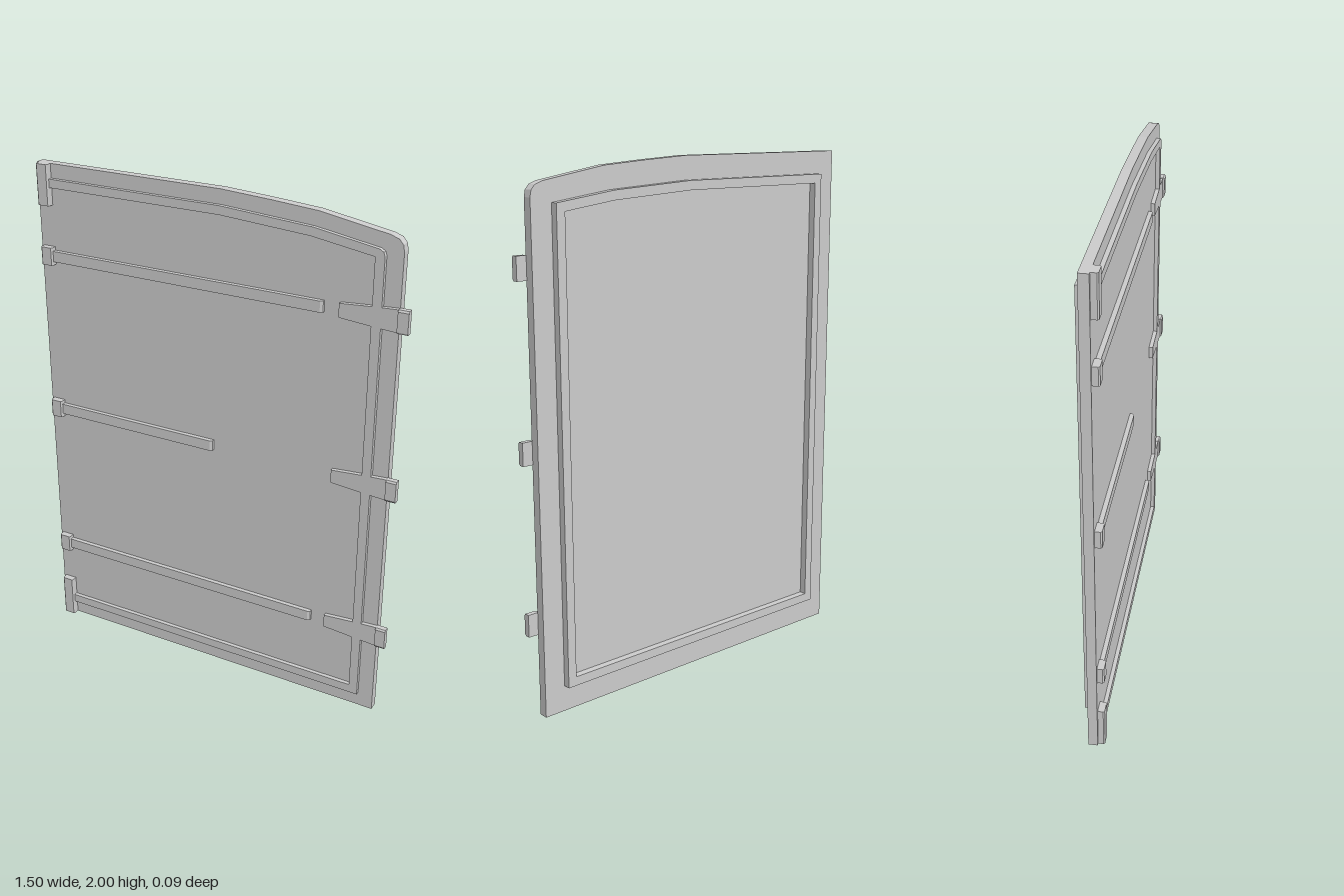
import * as THREE from 'three';

const material = new THREE.MeshStandardMaterial({ color: 0xcccccc, flatShading: true });

function outline(points) {
  return new THREE.Shape(points.map(([x, y]) => new THREE.Vector2(x, y)));
}

// Outline in x/y, extruded from z0 to z1
function plate(name, points, z0, z1, hole) {
  const shape = outline(points);
  if (hole) shape.holes.push(outline(hole));
  const geometry = new THREE.ExtrudeGeometry(shape, { depth: z1 - z0, bevelEnabled: false });
  geometry.translate(0, 0, z0);
  const mesh = new THREE.Mesh(geometry, material);
  mesh.name = name;
  return mesh;
}

// Profile in x/z, extruded upwards from y0 to y1
function slab(name, profile, y0, y1) {
  const mesh = plate(name, profile.map(([x, z]) => [x, -z]), y0, y1);
  mesh.geometry.rotateX(-Math.PI / 2);
  return mesh;
}

export function createModel() {
  const door = new THREE.Group();
  door.name = 'door';
  const back = -0.018, front = 0.018;

  // Door panel with an arched top and one rounded corner
  door.add(plate('panel', [
    [-0.75, 0], [0.71, 0], [0.71, 1.88], [0.705, 1.905], [0.69, 1.922], [0.66, 1.933],
    [0.4, 1.976], [0.22, 1.989], [0.03, 2], [-0.75, 2],
  ], back, front));

  // Raised sealing frame on the back
  door.add(plate('backFrame', [
    [-0.66, 0.1], [0.625, 0.1], [0.625, 1.86], [0.38, 1.892], [0.03, 1.912], [-0.66, 1.912],
  ], -0.046, back, [
    [-0.625, 0.135], [0.59, 0.135], [0.59, 1.83], [0.38, 1.857], [0.03, 1.877], [-0.625, 1.877],
  ]));

  // Trim strip running along the top, side and bottom of the front
  door.add(plate('frontTrim', [
    [-0.692, 0.06], [0.65, 0.06], [0.65, 1.86], [0.645, 1.875], [0.63, 1.884],
    [0.39, 1.922], [0.03, 1.945], [-0.692, 1.945], [-0.692, 1.912], [0.03, 1.912],
    [0.38, 1.89], [0.615, 1.855], [0.615, 0.095], [-0.692, 0.095],
  ], front, 0.034));

  // Brackets along the free edge
  const bracketProfile = [
    [-0.74, front], [-0.69, front], [-0.69, 0.039], [-0.694, 0.044], [-0.735, 0.044], [-0.74, 0.039],
  ];
  door.add(slab('bottomBracket', bracketProfile, 0, 0.175));
  door.add(slab('topBracket', bracketProfile, 1.843, 2));

  // Horizontal bars with their brackets and the tapered hinges opposite
  for (const [y, end] of [[0.36, 0.435], [1.0, 0], [1.645, 0.435]]) {
    door.add(slab('barBracket', bracketProfile, y - 0.035, y + 0.035));
    door.add(slab('bar', [
      [-0.692, front], [end, front], [end, 0.029], [end - 0.01, 0.035], [-0.692, 0.035],
    ], y - 0.021, y + 0.021));

    door.add(plate('hingeArm', [
      [0.495, y - 0.026], [0.62, y - 0.036], [0.7, y - 0.041], [0.712, y - 0.041],
      [0.712, y + 0.041], [0.7, y + 0.041], [0.62, y + 0.036], [0.495, y + 0.026],
    ], front, 0.034));

    // Chamfered knuckle, its y/z profile turned to run along x
    const knuckle = plate('hingeKnuckle', [
      [-0.016, y - 0.043], [-0.036, y - 0.043], [-0.041, y - 0.036],
      [-0.041, y + 0.036], [-0.036, y + 0.043], [-0.016, y + 0.043],
    ], 0.71, 0.75);
    knuckle.geometry.rotateY(Math.PI / 2);
    door.add(knuckle);
  }
  return door;
}
